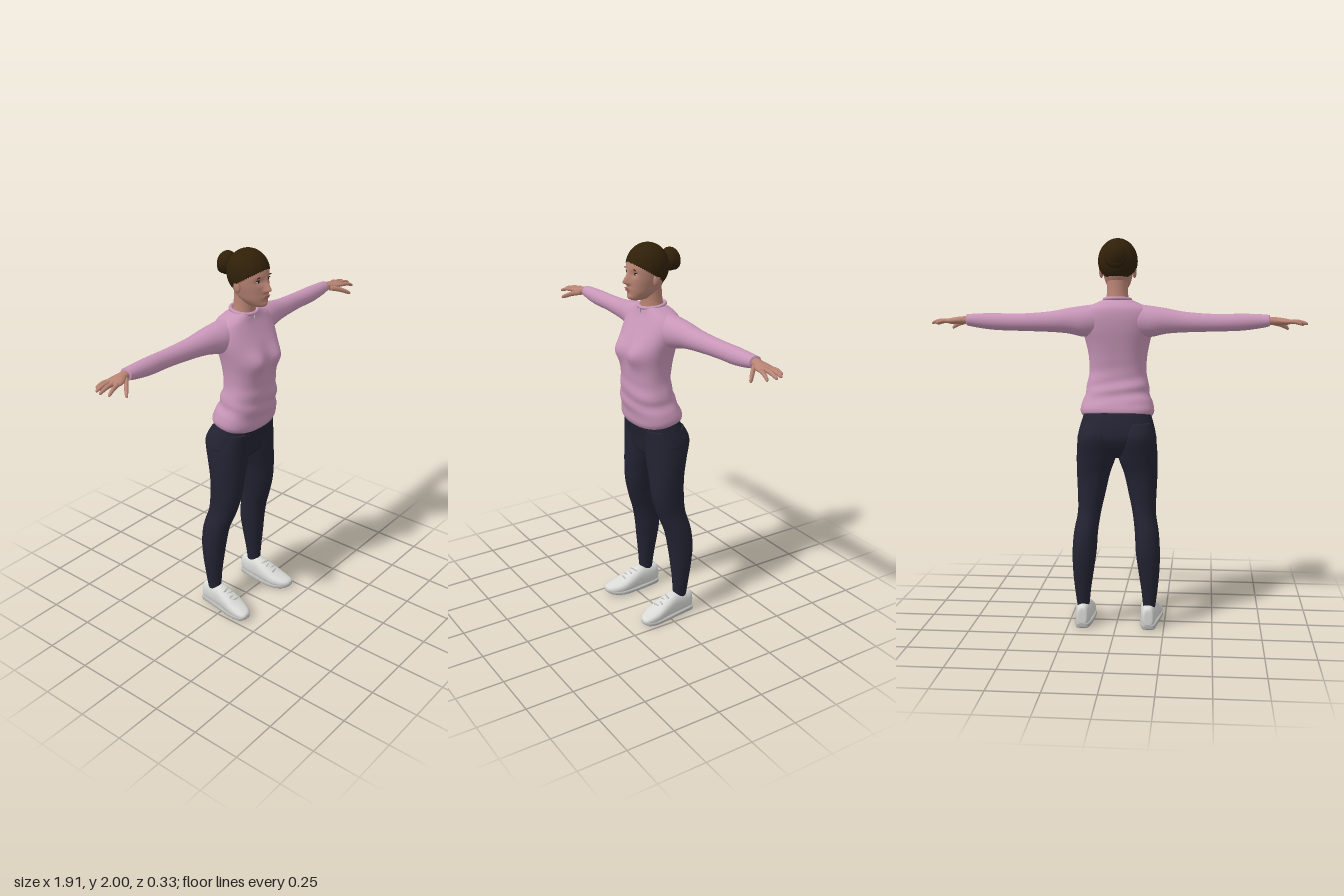
import * as THREE from 'three';

const mat = (name, color) => {
  const m = new THREE.MeshStandardMaterial({ color });
  m.name = name;
  return m;
};
const M = {
  skin: mat('skin', 0xb98474),
  hair: mat('hair', 0x302009),
  shirt: mat('pink shirt', 0xc896b8),
  pants: mat('navy leggings', 0x232333),
  shoe: mat('shoe white', 0xd9d9d6),
  sole: mat('sole grey', 0xb4b4b2),
  lips: mat('lips', 0x9c5d58),
  dark: mat('eye dark', 0x1c1614),
  eye: mat('eye white', 0xcfc8c4),
};
M.hair.side = THREE.DoubleSide;

const bump = (d, s) => Math.exp(-(d * d) / (s * s));

// Each section is [t, a0, a1, b0, b1]: position on the axis, then the extents across it.
const AXES = {
  y: (t, a, b) => [a, t, b], // a = x, b = z
  x: (t, a, b) => [t, a, b], // a = y, b = z
  z: (t, a, b) => [a, b, t], // a = x, b = y
};

// Smooth closed loft through superellipse sections
function loft(axis, sections, { side = 1, exp = 2, n = 32, steps = 5, deform } = {}) {
  const rows = [];
  const last = sections.length - 1;
  for (let i = 0; i < last; i++) {
    const [p, q, r, s] = [-1, 0, 1, 2].map(k => sections[Math.min(last, Math.max(0, i + k))]);
    for (let j = 0; j < steps + (i === last - 1 ? 1 : 0); j++) {
      const u = j / steps;
      rows.push(q.map((v, k) => v + 0.5 * u * (r[k] - p[k] + u * (2 * p[k] - 5 * v + 4 * r[k] - s[k]
        + u * (3 * (v - r[k]) + s[k] - p[k])))));
    }
  }
  const pos = [], idx = [];
  const add = (t, a, b) => {
    const v = new THREE.Vector3(...AXES[axis](t, a, b));
    if (deform) deform(v);
    pos.push(v.x * side, v.y, v.z);
  };
  const pow = c => Math.sign(c) * Math.abs(c) ** (2 / exp);
  for (const [t, a0, a1, b0, b1] of rows) {
    for (let k = 0; k < n; k++) {
      const w = (k / n) * Math.PI * 2;
      add(t, (a0 + a1) / 2 + pow(Math.cos(w)) * (a1 - a0) / 2, (b0 + b1) / 2 + pow(Math.sin(w)) * (b1 - b0) / 2);
    }
  }
  for (const [t, a0, a1, b0, b1] of [rows[0], rows[rows.length - 1]]) add(t, (a0 + a1) / 2, (b0 + b1) / 2);
  const R = rows.length, flip = (axis === 'z') === (side === 1);
  const tri = (a, b, c) => (flip ? idx.push(a, c, b) : idx.push(a, b, c));
  for (let k = 0; k < n; k++) {
    const m = (k + 1) % n;
    for (let i = 0; i < R - 1; i++) {
      tri(i * n + k, (i + 1) * n + k, i * n + m);
      tri(i * n + m, (i + 1) * n + k, (i + 1) * n + m);
    }
    tri(R * n, k, m);
    tri(R * n + 1, (R - 1) * n + m, (R - 1) * n + k);
  }
  // Turn the faces outward if the enclosed volume is negative
  let vol = 0;
  const P = i => new THREE.Vector3().fromArray(pos, i * 3);
  for (let i = 0; i < idx.length; i += 3) vol += P(idx[i]).dot(P(idx[i + 1]).cross(P(idx[i + 2])));
  if (vol < 0) idx.reverse();
  const g = new THREE.BufferGeometry();
  g.setAttribute('position', new THREE.Float32BufferAttribute(pos, 3));
  g.setIndex(idx);
  g.computeVertexNormals();
  return g;
}

export function createModel() {
  const root = new THREE.Group();
  const put = (name, geo, material, parent = root) => {
    const mesh = new THREE.Mesh(geo, material);
    mesh.name = name;
    parent.add(mesh);
    return mesh;
  };
  const ball = (name, material, [x, y, z], [rx, ry, rz], parent) => {
    const m = put(name, new THREE.SphereGeometry(1, 24, 16), material, parent);
    m.position.set(x, y, z);
    m.scale.set(rx, ry, rz);
    return m;
  };
  const sym = rows => rows.map(([y, w, b, f]) => [y, -w, w, b, f]);

  // Shirt body with bust and a hem rising toward the back
  put('shirtBody', loft('y', sym([
    [1.10, 0.182, -0.138, 0.1], [1.125, 0.19, -0.135, 0.112], [1.17, 0.182, -0.118, 0.118], [1.21, 0.165, -0.105, 0.126],
    [1.25, 0.162, -0.096, 0.13], [1.32, 0.147, -0.082, 0.13], [1.4, 0.15, -0.09, 0.134], [1.47, 0.163, -0.102, 0.136],
    [1.54, 0.18, -0.115, 0.112], [1.6, 0.185, -0.12, 0.082], [1.645, 0.165, -0.115, 0.06],
    [1.67, 0.12, -0.1, 0.052], [1.69, 0.075, -0.078, 0.048]]), {
    exp: 2.4, n: 56, deform: v => {
      if (v.z > 0) v.z += 0.027 * bump(Math.abs(v.x) - 0.075, 0.055) * bump(v.y - 1.465, 0.06);
      v.z += 0.004 * Math.sin(v.y * 75 + v.x * 14) * bump(v.y - 1.24, 0.08);
      v.y -= Math.max(0, 1 - (v.y - 1.1) / 0.2) * v.z * 0.2;
    } }), M.shirt);
  const collar = put('collar', new THREE.TorusGeometry(0.066, 0.009, 10, 40), M.shirt);
  collar.rotation.x = Math.PI / 2 + 0.12;
  collar.position.set(0, 1.692, -0.014);
  put('collarClasp', new THREE.BoxGeometry(0.01, 0.03, 0.008), M.sole).position.set(0, 1.672, 0.055);

  // Hips of the leggings
  put('hips', loft('y', sym([
    [0.888, 0.03, -0.08, 0.02], [0.92, 0.13, -0.12, 0.06], [0.97, 0.198, -0.148, 0.072],
    [1.01, 0.2, -0.155, 0.078], [1.08, 0.182, -0.135, 0.094], [1.15, 0.16, -0.1, 0.09]]), { exp: 2.3, n: 48 }), M.pants);

  // Neck and face
  put('neck', loft('y', sym([
    [1.65, 0.07, -0.075, 0.045], [1.7, 0.057, -0.068, 0.043], [1.75, 0.053, -0.062, 0.045], [1.81, 0.055, -0.06, 0.05]])), M.skin);
  const face = loft('y', sym([
    [1.727, 0.022, 0.03, 0.1], [1.737, 0.037, 0, 0.117], [1.765, 0.058, -0.04, 0.121], [1.8, 0.07, -0.065, 0.122],
    [1.84, 0.08, -0.077, 0.122], [1.885, 0.084, -0.08, 0.121], [1.93, 0.08, -0.08, 0.108], [1.965, 0.06, -0.05, 0.085], [1.985, 0.02, 0, 0.04]]), {
    n: 96, steps: 7, exp: 2.15, deform: v => {
      if (v.z < 0.04) return;
      const x = Math.abs(v.x);
      v.z += 0.032 * bump(x, 0.013) * bump(v.y - 1.82, v.y > 1.82 ? 0.033 : 0.013); // nose
      v.z += 0.008 * bump(x - 0.013, 0.009) * bump(v.y - 1.814, 0.009); // nostrils
      v.z -= 0.01 * bump(x - 0.036, 0.02) * bump(v.y - 1.86, 0.015); // eye sockets
      v.z += 0.008 * bump(x, 0.02) * bump(v.y - 1.784, 0.013); // mouth
      v.z += 0.006 * bump(x, 0.02) * bump(v.y - 1.745, 0.012); // chin
    } });
  put('face', face, M.skin);
  const faceZ = (x, y) => {
    const p = face.attributes.position;
    let best = 1, z = 0;
    for (let i = 0; i < p.count; i++) {
      const d = Math.hypot(p.getX(i) - x, p.getY(i) - y);
      if (p.getZ(i) > 0.03 && d < best) [best, z] = [d, p.getZ(i)];
    }
    return z;
  };
  ball('upperLip', M.lips, [0, 1.788, faceZ(0, 1.788)], [0.023, 0.004, 0.004]);
  ball('lowerLip', M.lips, [0, 1.78, faceZ(0, 1.78) - 0.001], [0.019, 0.005, 0.004]);

  // Hair cap: a dome whose lower edge drops from forehead to nape
  const cap = new THREE.SphereGeometry(1, 64, 32);
  const cp = cap.attributes.position, uv = cap.attributes.uv;
  for (let i = 0; i < cp.count; i++) {
    const a = uv.getX(i) * Math.PI * 2, f = Math.cos(a);
    const t = (1 - uv.getY(i)) * (1.95 - 0.62 * f);
    const groove = 1 + 0.008 * Math.sin(a * 16) * Math.sin(t);
    cp.setXYZ(i, 0.1 * Math.sin(t) * Math.sin(a) * groove, 1.885 + 0.115 * Math.cos(t), 0.013 + 0.109 * Math.sin(t) * f * groove);
  }
  cap.computeVertexNormals();
  put('hairCap', cap, M.hair);
  ball('hairBun', M.hair, [0, 1.905, -0.117], [0.056, 0.058, 0.046]);
  const coil = put('bunCoil', new THREE.TorusGeometry(0.038, 0.019, 12, 32), M.hair);
  coil.position.set(0, 1.905, -0.13);
  coil.rotation.set(0.15, 0.1, 0);

  for (const s of [1, -1]) {
    const label = s > 0 ? 'left' : 'right';
    const limb = (part, axis, rows, material, opts = {}) => put(label + part, loft(axis, rows, { side: s, ...opts }), material);

    // Eyes, brows and ears
    const ez = faceZ(s * 0.037, 1.861);
    ball(label + 'Eye', M.eye, [s * 0.037, 1.861, ez], [0.014, 0.006, 0.004]);
    ball(label + 'Iris', M.dark, [s * 0.037, 1.861, ez + 0.002], [0.0065, 0.006, 0.004]);
    ball(label + 'Lashes', M.dark, [s * 0.038, 1.867, ez + 0.001], [0.016, 0.0025, 0.005]);
    ball(label + 'Brow', M.hair, [s * 0.038, 1.883, faceZ(s * 0.038, 1.883)], [0.019, 0.003, 0.003]).rotation.z = -s * 0.1;
    ball(label + 'Ear', M.skin, [s * 0.085, 1.833, 0.012], [0.011, 0.032, 0.019]).rotation.x = -0.2;

    // Sleeve
    limb('Sleeve', 'x', [
      [0.09, 1.51, 1.672, -0.105, 0.045], [0.17, 1.505, 1.662, -0.115, 0.035], [0.25, 1.522, 1.65, -0.112, 0.012],
      [0.35, 1.53, 1.632, -0.11, -0.01], [0.5, 1.535, 1.622, -0.112, -0.028], [0.62, 1.539, 1.624, -0.108, -0.026],
      [0.71, 1.55, 1.622, -0.102, -0.03], [0.765, 1.561, 1.618, -0.1, -0.036]], M.shirt);

    // Hand: palm, four fingers and thumb
    limb('Palm', 'x', [
      [0.73, 1.57, 1.608, -0.09, -0.046], [0.78, 1.568, 1.608, -0.092, -0.042], [0.82, 1.567, 1.604, -0.097, -0.02],
      [0.855, 1.569, 1.598, -0.1, -0.012], [0.875, 1.576, 1.592, -0.094, -0.016]], M.skin, { n: 20 });
    const finger = (part, [x0, y0, z0], [x1, y1, z1], r) => {
      const rows = [[0, 1], [0.45, 1], [0.8, 0.85], [0.95, 0.65], [1, 0.15]].map(([u, k]) => {
        const y = y0 + (y1 - y0) * u + 0.006 * Math.sin(u * Math.PI), z = z0 + (z1 - z0) * u;
        return [x0 + (x1 - x0) * u, y - r * k, y + r * k, z - r * k, z + r * k];
      });
      limb(part, 'x', rows, M.skin, { n: 12, steps: 3 });
    };
    finger('LittleFinger', [0.855, 1.583, -0.088], [0.922, 1.572, -0.094], 0.009);
    finger('RingFinger', [0.86, 1.585, -0.068], [0.95, 1.573, -0.066], 0.0105);
    finger('MiddleFinger', [0.86, 1.585, -0.046], [0.957, 1.572, -0.036], 0.0105);
    finger('IndexFinger', [0.86, 1.583, -0.024], [0.94, 1.566, 0.002], 0.0105);
    finger('Thumb', [0.785, 1.58, -0.045], [0.868, 1.546, 0.035], 0.014);

    // Legging leg
    limb('Leg', 'y', [
      [0.1, 0.142, 0.203, -0.118, -0.046], [0.2, 0.131, 0.216, -0.13, -0.042], [0.3, 0.116, 0.225, -0.145, -0.032],
      [0.4, 0.102, 0.227, -0.155, -0.02], [0.5, 0.096, 0.22, -0.147, 0], [0.6, 0.082, 0.203, -0.122, 0.036],
      [0.7, 0.06, 0.205, -0.115, 0.06], [0.8, 0.037, 0.209, -0.117, 0.066], [0.9, 0.004, 0.209, -0.138, 0.07],
      [1, 0.002, 0.2, -0.16, 0.074], [1.07, 0.01, 0.18, -0.13, 0.08]], M.pants, { exp: 2.15 });

    // Shoe: upper, sole and laces
    limb('ShoeUpper', 'z', [
      [-0.155, 0.155, 0.187, 0.03, 0.09], [-0.147, 0.142, 0.2, 0.012, 0.115], [-0.1, 0.132, 0.208, 0.005, 0.125],
      [-0.04, 0.127, 0.216, 0.004, 0.13], [0.02, 0.122, 0.226, 0.004, 0.108], [0.08, 0.124, 0.234, 0.004, 0.077],
      [0.13, 0.142, 0.232, 0.006, 0.058], [0.155, 0.163, 0.224, 0.012, 0.048], [0.165, 0.18, 0.21, 0.02, 0.038]], M.shoe, { exp: 2.4 });
    limb('ShoeSole', 'z', [
      [-0.156, 0.155, 0.188, 0.008, 0.028], [-0.145, 0.138, 0.205, 0, 0.028], [-0.08, 0.126, 0.215, 0, 0.026],
      [0.02, 0.119, 0.23, 0, 0.024], [0.09, 0.122, 0.238, 0, 0.024], [0.14, 0.146, 0.234, 0.004, 0.027],
      [0.163, 0.175, 0.214, 0.014, 0.03]], M.sole, { exp: 4 });
    for (let i = 0; i < 4; i++) {
      const lace = ball(label + 'Lace', M.sole, [s * (0.173 + i * 0.0015), 0.115 - i * 0.0105, -0.002 + i * 0.021], [0.027, 0.004, 0.005]);
      lace.rotation.y = (i % 2 ? 0.2 : -0.2) * s;
    }
  }
  return root;
}
